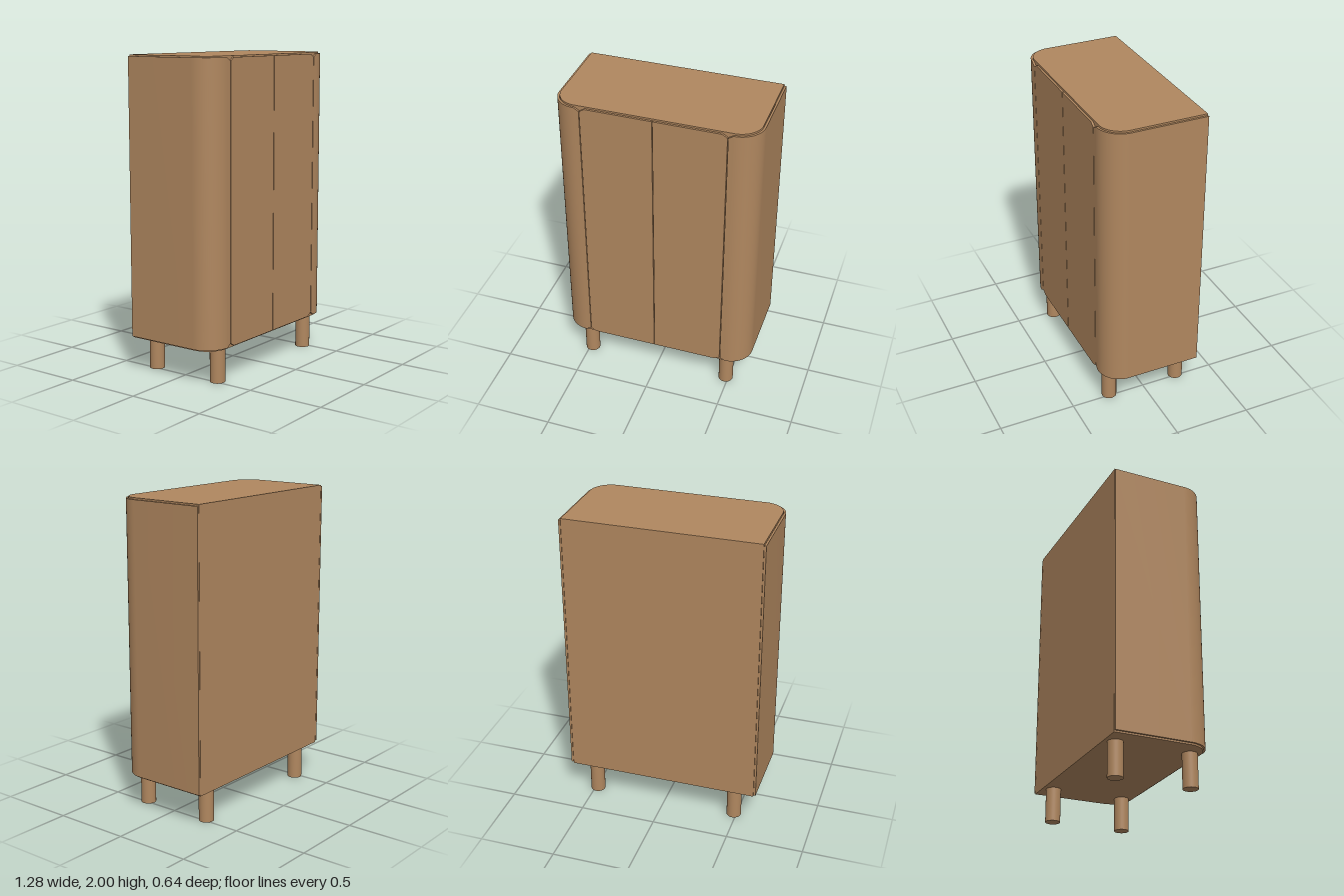
import * as THREE from 'three';
import { toCreasedNormals } from 'three/addons/utils/BufferGeometryUtils.js';

const BACK = -0.32, CX = 0.49, CZ = 0.17; // back plane and corner centre
const Y0 = 0.23, Y1 = 1.99;               // bottom and top of the outer panels

// quarter arc in plan (x, z), from the front round to the side s
function arc(s, r) {
  const pts = [];
  for (let i = 0; i <= 20; i++) {
    const a = (i / 20) * Math.PI / 2;
    pts.push([s * (CX + r * Math.sin(a)), CZ + r * Math.cos(a)]);
  }
  return pts;
}

// vertical prism from plan points
function prism(pts, y0, y1) {
  const shape = new THREE.Shape(pts.map(([x, z]) => new THREE.Vector2(x, -z)));
  const g = new THREE.ExtrudeGeometry(shape, { depth: y1 - y0, bevelEnabled: false });
  g.rotateX(-Math.PI / 2).translate(0, y0, 0);
  return toCreasedNormals(g, 0.5);
}

// thin front board, its corners clipped beside the seam at x = seam
function board(s, seam, far) {
  const dir = Math.sign(far - seam), cx = 0.032 * dir, cy = 0.02;
  const pts = [[far, Y0], [seam + cx, Y0], [seam, Y0 + cy], [seam, Y1 - cy], [seam + cx, Y1], [far, Y1]];
  const shape = new THREE.Shape(pts.map(([x, y]) => new THREE.Vector2(s * x, y)));
  const g = new THREE.ExtrudeGeometry(shape, { depth: 0.013, bevelEnabled: false });
  return g.translate(0, 0, 0.307);
}

export function createModel() {
  const wood = new THREE.MeshStandardMaterial({ color: 0xb0875f });
  wood.name = 'wood';
  const group = new THREE.Group();
  group.name = 'cabinet';
  const add = (name, geometry) => {
    const m = new THREE.Mesh(geometry, wood);
    m.name = name;
    group.add(m);
    return m;
  };

  // carcass, slightly taller than the panels around it
  const r = 0.135;
  add('carcass', prism([
    [-CX - r, BACK], ...arc(-1, r).reverse(), ...arc(1, r), [CX + r, BACK],
  ], 0.22, 2));

  for (const s of [1, -1]) {
    const side = s > 0 ? 'left' : 'right';
    // panel wrapping the side and the rounded corner
    add(side + 'SidePanel', prism([
      ...arc(s, 0.15), [s * (CX + 0.15), BACK], [s * (CX + 0.137), BACK], ...arc(s, 0.137).reverse(),
    ], Y0, Y1));
    add(side + 'SidePanelEdge', board(s, 0.457, CX));
    add(side + 'Door', board(s, 0.453, 0.002));
    // legs
    for (const [end, z] of [['Front', 0.238], ['Back', -0.248]]) {
      add(side + end + 'Leg', new THREE.CylinderGeometry(0.048, 0.048, 0.225, 32))
        .position.set(s * 0.482, 0.1125, z);
    }
  }
  return group;
}
